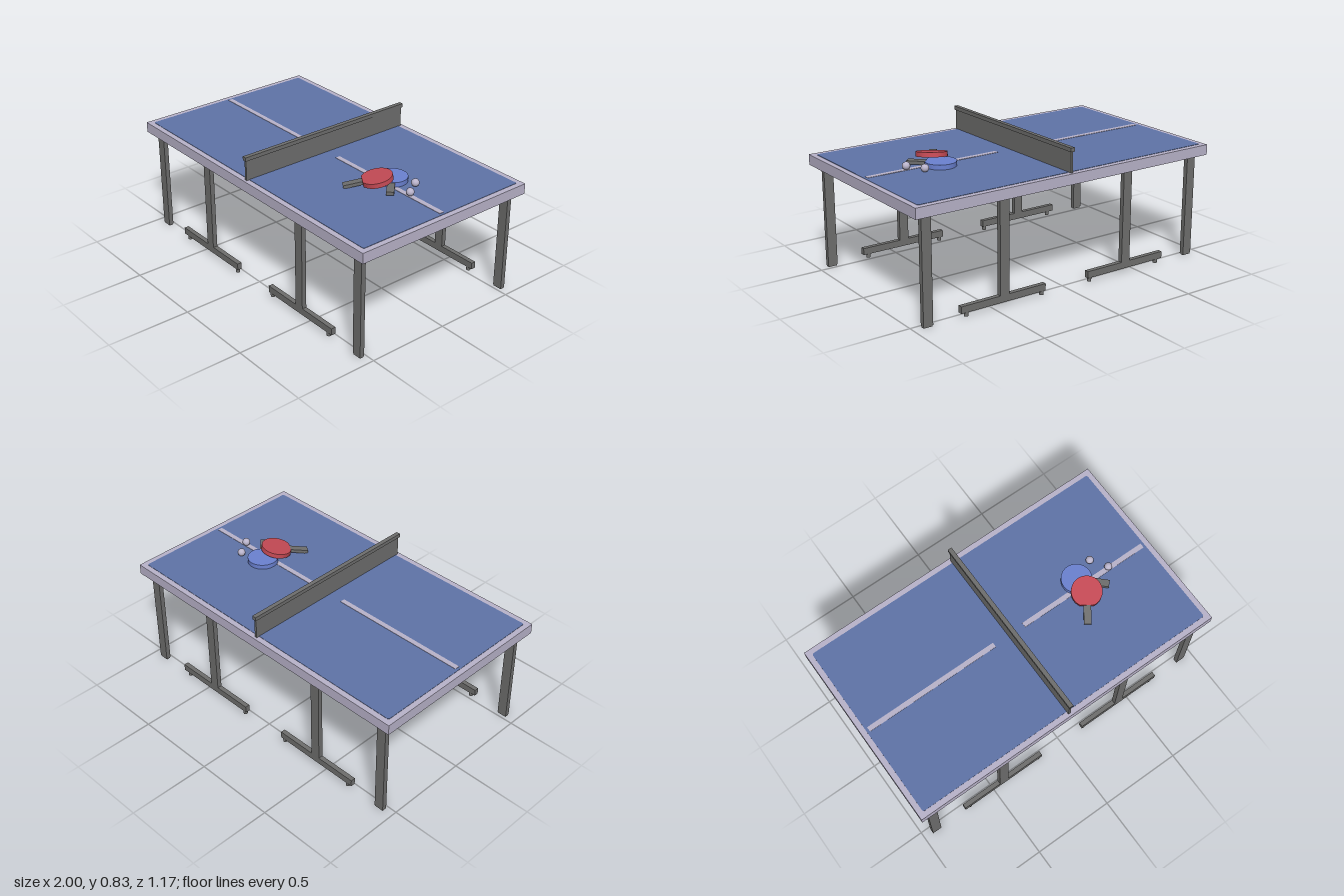
import * as THREE from 'three';

const mat = (name, color) => new THREE.MeshStandardMaterial({ name, color });
const lavender = mat('paleLavender', 0xbab4cb);
const blue = mat('tableBlue', 0x5f74a8);
const grey = mat('metalGrey', 0x6f6f6e);
const red = mat('rubberRed', 0xc44a55);
const bright = mat('rubberBlue', 0x6b82d2);

function add(parent, name, geometry, material, x = 0, y = 0, z = 0) {
  const mesh = new THREE.Mesh(geometry, material);
  mesh.name = name;
  mesh.position.set(x, y, z);
  parent.add(mesh);
  return mesh;
}

// Box given by its x/z centre, its size and its bottom and top heights
function block(parent, name, material, x, z, w, d, y0, y1) {
  return add(parent, name, new THREE.BoxGeometry(w, y1 - y0, d), material, x, (y0 + y1) / 2, z);
}

function roundedRect(w, h, r) {
  const s = new THREE.Shape();
  s.absarc(w / 2 - r, h / 2 - r, r, 0, Math.PI / 2);
  s.absarc(-w / 2 + r, h / 2 - r, r, Math.PI / 2, Math.PI);
  s.absarc(-w / 2 + r, -h / 2 + r, r, Math.PI, Math.PI * 1.5);
  s.absarc(w / 2 - r, -h / 2 + r, r, Math.PI * 1.5, Math.PI * 2);
  s.closePath();
  return s;
}

// Paddle with its handle pointing along +z
function paddle(name, rubber, x, y, z, turn, tilt) {
  const g = new THREE.Group();
  g.name = name;
  const cut = 0.45, thick = 0.028;
  const s = new THREE.Shape();
  s.absarc(0, 0, 0.09, Math.PI / 2 + cut, Math.PI * 2.5 - cut);
  s.closePath();
  const blade = new THREE.ExtrudeGeometry(s, { depth: thick, bevelEnabled: false, curveSegments: 40 });
  blade.rotateX(Math.PI / 2).translate(0, thick / 2, 0);
  add(g, 'blade', blade, rubber);
  add(g, 'handle', new THREE.BoxGeometry(0.043, 0.02, 0.12), grey, 0, 0, 0.13);
  g.position.set(x, y, z);
  g.rotation.set(tilt, turn, 0, 'YXZ');
  return g;
}

export function createModel() {
  const model = new THREE.Group();
  model.name = 'tableTennisTable';

  // Table top: pale rim, blue underside, blue playing surface
  add(model, 'tableTop', new THREE.BoxGeometry(2, 0.062, 1.174),
    [lavender, lavender, lavender, blue, lavender, lavender], 0, 0.654, 0);
  const surface = new THREE.ExtrudeGeometry(roundedRect(1.935, 1.108, 0.012),
    { depth: 0.002, bevelEnabled: false, curveSegments: 4 });
  surface.rotateX(-Math.PI / 2);
  add(model, 'playingSurface', surface, blue, 0, 0.685, 0);

  for (const sx of [-1, 1]) {
    block(model, 'centreLine', lavender, sx * 0.527, 0, 0.85, 0.03, 0.686, 0.689);
    for (const sz of [-1, 1]) {
      const z = sz * 0.532;
      // Corner leg with a small pad
      block(model, 'cornerLeg', grey, sx * 0.915, z, 0.059, 0.028, 0.008, 0.623);
      block(model, 'legPad', grey, sx * 0.915, z, 0.054, 0.023, 0, 0.008);
      // Inner T-shaped leg on a pair of feet
      block(model, 'innerLeg', grey, sx * 0.428, z, 0.059, 0.028, 0.06, 0.623);
      block(model, 'footBar', grey, sx * 0.43, z, 0.558, 0.028, 0.024, 0.065);
      for (const x of [0.17, 0.671])
        add(model, 'foot', new THREE.CylinderGeometry(0.0125, 0.0125, 0.024, 12), grey, sx * x, 0.012, z);
    }
  }

  // Net and its top bar
  block(model, 'net', grey, 0, 0, 0.014, 1.143, 0.685, 0.807);
  block(model, 'netTopBar', grey, 0, 0, 0.026, 1.157, 0.806, 0.829);

  // Paddles, the red one leaning on the blue one
  model.add(paddle('bluePaddle', bright, 0.51, 0.703, -0.047, 0.785, 0));
  model.add(paddle('redPaddle', red, 0.503, 0.731, 0.057, -0.598, 0.2));

  // Balls
  for (const [x, z] of [[0.643, -0.098], [0.705, -0.003]])
    add(model, 'ball', new THREE.SphereGeometry(0.023, 24, 16), lavender, x, 0.71, z);

  return model;
}
